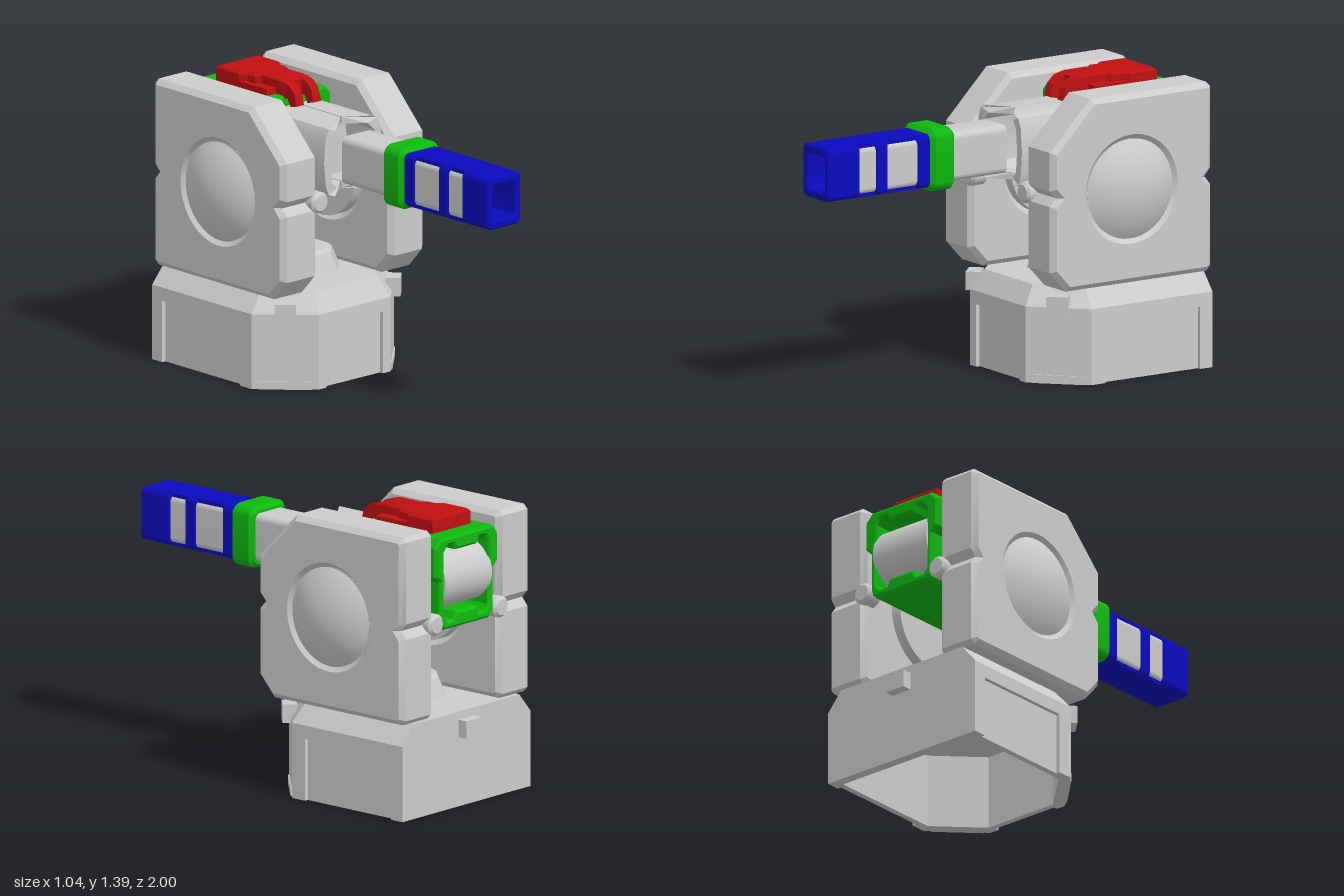
import * as THREE from 'three';
import { toCreasedNormals } from 'three/addons/utils/BufferGeometryUtils.js';

const mat = (c) => new THREE.MeshStandardMaterial({ color: c });
const GREY = mat(0xcccccc), GREEN = mat(0x0fb80f), RED = mat(0xc01010), BLUE = mat(0x0a0abf);

export function createModel() {
  const root = new THREE.Group();
  const add = (name, geo, material = GREY, x = 0, y = 0, z = 0) => {
    const m = new THREE.Mesh(toCreasedNormals(geo.index ? geo.toNonIndexed() : geo, 0.5), material);
    m.name = name;
    m.position.set(x, y, z);
    root.add(m);
    return m;
  };
  const box = (name, material, x0, x1, y0, y1, z0, z1) =>
    add(name, new THREE.BoxGeometry(x1 - x0, y1 - y0, z1 - z0), material, (x0 + x1) / 2, (y0 + y1) / 2, (z0 + z1) / 2);
  const poly = (pts) => new THREE.Shape(pts.map(([x, y]) => new THREE.Vector2(x, y)));
  const mirror = (half) => [...half, ...half.map(([x, y]) => [-x, y]).reverse()];
  // Extrusion over the range 0..depth with an optional inset bevel
  const extrude = (shape, depth, bevel = 0) => new THREE.ExtrudeGeometry(shape, {
    depth: depth - 2 * bevel, bevelEnabled: bevel > 0, bevelSize: bevel, bevelThickness: bevel,
    bevelOffset: -bevel, bevelSegments: 1, curveSegments: 24,
  }).translate(0, 0, bevel);
  const alongX = (shape, w, bevel) => extrude(shape, w, bevel).translate(0, 0, -w / 2).rotateY(Math.PI / 2); // shape is (-z, y)
  const alongY = (shape, h, bevel) => extrude(shape, h, bevel).rotateX(-Math.PI / 2); // shape is (x, -z)
  const roundRect = (w, h, r) => {
    const s = new THREE.Shape(), a = w / 2 - r, b = h / 2 - r;
    [[a, b], [-a, b], [-a, -b], [a, -b]].forEach(([x, y], i) => s.absarc(x, y, r, i * Math.PI / 2, (i + 1) * Math.PI / 2));
    s.closePath();
    return s;
  };
  // Flat-faced loft through convex rings: sections are [y, [[x, z], ...]]
  const loft = (sections) => {
    const pos = [], n = sections[0][1].length;
    const v = (k, i) => [sections[k][1][i % n][0], sections[k][0], sections[k][1][i % n][1]];
    const last = sections.length - 1;
    for (let k = 0; k < last; k++) for (let i = 0; i < n; i++)
      pos.push(...v(k, i), ...v(k, i + 1), ...v(k + 1, i + 1), ...v(k, i), ...v(k + 1, i + 1), ...v(k + 1, i));
    for (let i = 1; i < n - 1; i++)
      pos.push(...v(last, 0), ...v(last, i), ...v(last, i + 1), ...v(0, 0), ...v(0, i + 1), ...v(0, i));
    const g = new THREE.BufferGeometry();
    g.setAttribute('position', new THREE.Float32BufferAttribute(pos, 3));
    g.computeVertexNormals();
    return g;
  };
  const octagon = (w, c, z) => [[-c, w], [c, w], [w, c], [w, -c], [c, -w], [-c, -w], [-w, -c], [-w, c]].map(([x, d]) => [x, z + d]);

  // Hollow base: lower walls with recessed panels, then a plain band, then a chamfered roof
  const cavity = () => poly(mirror([[0.2, 0.09], [0.405, 0.29], [0.405, 0.9]]));
  const lower = poly(mirror([[0.18, 0.06], [0.18, 0.04], [0.23, 0.04], [0.455, 0.26], [0.455, 0.34],
    [0.435, 0.34], [0.435, 0.88], [0.455, 0.88], [0.455, 0.95]]));
  lower.holes.push(cavity());
  add('baseWalls', alongY(lower, 0.3));
  const band = poly(mirror([[0.23, 0.04], [0.455, 0.26], [0.455, 0.95]]));
  band.holes.push(cavity());
  add('baseBand', alongY(band, 0.065), GREY, 0, 0.3);
  const ring = (half) => [...half.map(([x, z]) => [-x, z]).reverse().slice(-1), ...half, ...half.map(([x, z]) => [-x, z]).reverse().slice(0, -1)];
  const footprint = [[0.23, -0.04], [0.455, -0.26], [0.455, -0.95]];
  add('baseRoof', loft([[0.365, ring(footprint)], [0.46, ring([[0.2, -0.1], [0.375, -0.28], [0.375, -0.95]])]]));
  box('backPeg', GREY, -0.055, 0.055, 0.335, 0.42, -1, -0.94);
  for (const s of [-1, 1]) {
    add('cornerBracket', new THREE.BoxGeometry(0.1, 0.09, 0.07), GREY, s * 0.345, 0.38, -0.145).rotation.y = s * 0.775;
    add('cornerFoot', new THREE.BoxGeometry(0.25, 0.04, 0.03), GREY, s * 0.335, 0.02, -0.155).rotation.y = s * 0.775;
  }

  // Neck and column
  add('neckCollar', loft([[0.455, octagon(0.22, 0.115, -0.5)], [0.55, octagon(0.185, 0.1, -0.5)], [0.565, octagon(0.165, 0.09, -0.5)]]));
  add('column', loft([[0.56, octagon(0.09, 0.045, -0.5)], [0.93, octagon(0.09, 0.045, -0.5)]]));

  // Side pods with a domed round window, an inner disc and notch bolts
  const podShape = poly([[0.04, 0.56], [0.13, 0.462], [0.93, 0.462], [0.952, 0.485], [0.952, 0.88], [0.92, 0.918],
    [0.952, 0.955], [0.952, 1.35], [0.93, 1.372], [0.27, 1.372], [0.04, 1.14], [0.04, 0.955], [0.075, 0.918], [0.04, 0.88]]);
  podShape.holes.push(new THREE.Path().absarc(0.49, 0.915, 0.238, 0, Math.PI * 2, true));
  const boltProfile = [[0, -0.08], [0.052, -0.08], [0.052, -0.014], [0.038, 0], [0, 0]].map(([r, y]) => new THREE.Vector2(r, y));
  for (const s of [-1, 1]) {
    add('sidePod', alongX(podShape, 0.225, 0.025), GREY, s * 0.3425);
    add('podDome', new THREE.SphereGeometry(0.413, 48, 12, 0, Math.PI * 2, 0, 0.62).rotateZ(-s * Math.PI / 2), GREY, s * 0.107, 0.915, -0.49);
    add('pivotDisc', new THREE.CylinderGeometry(0.237, 0.237, 0.23, 48).rotateZ(Math.PI / 2), GREY, s * 0.315, 0.915, -0.49);
    for (const f of [-1, 1])
      add('notchBolt', new THREE.LatheGeometry(boltProfile, 24).rotateX(f * Math.PI / 2), GREY, s * 0.23, 0.915, f > 0 ? -0.02 : -0.972);
  }

  // Green housing: open frame around the drum
  const frame = poly(mirror([[0.16, 0.875], [0.19, 0.905], [0.19, 1.11], [0.222, 1.14], [0.222, 1.28], [0.185, 1.32]]));
  frame.holes.push(poly(mirror([[0.075, 0.95], [0.09, 0.915], [0.135, 0.915], [0.155, 0.94], [0.155, 1.25], [0.13, 1.28],
    [0.09, 1.28], [0.075, 1.25]])));
  add('housing', extrude(frame, 0.515, 0.012), GREEN, 0, 0, -0.955);
  add('drum', new THREE.CylinderGeometry(0.15, 0.15, 0.33, 40).rotateZ(Math.PI / 2), GREY, 0, 1.098, -0.815);
  box('housingCore', GREY, -0.157, 0.157, 0.94, 1.255, -0.72, -0.46);

  // Split mantlet: two C-shaped halves whose front edges meet in a V
  for (const s of [-1, 1]) {
    const half = poly([[0.004, 0.92], [0.115, 0.92], [0.155, 0.935], [0.175, 0.98], [0.185, 1.095], [0.175, 1.21], [0.155, 1.255],
      [0.115, 1.27], [0.004, 1.27], [0.004, 1.235], [0.1, 1.235], [0.135, 1.2], [0.145, 1.095], [0.135, 0.99], [0.1, 0.955],
      [0.004, 0.955]].map(([x, y]) => [s * x, y]));
    const g = extrude(half, 0.41), p = g.attributes.position;
    for (let i = 0; i < p.count; i++)
      if (p.getZ(i) > 0.2) p.setZ(i, p.getZ(i) - 0.09 * Math.max(0, 1 - Math.abs(p.getX(i)) / 0.11));
    g.computeVertexNormals();
    add('mantletHalf', g, GREY, 0, 0, -0.46);
  }
  box('mantletBack', GREY, -0.15, 0.15, 0.94, 1.25, -0.46, -0.25);

  // Red latch: stepped block, raised arm and two hooked prongs
  add('latchBlock', alongY(poly(mirror([[0.075, 0.5], [0.135, 0.5], [0.135, 0.855]])), 0.04), RED, 0, 1.31);
  add('latchHead', alongY(poly(mirror([[0.08, 0.6], [0.105, 0.62], [0.105, 0.67], [0.135, 0.7], [0.135, 0.855]])), 0.085, 0.012), RED, 0, 1.31);
  add('latchArm', alongX(poly([[0.44, 1.31], [0.8, 1.31], [0.8, 1.395], [0.47, 1.395], [0.44, 1.385]]), 0.16, 0.008), RED);
  for (const s of [-1, 1])
    add('latchProng', alongX(poly([[0.46, 1.31], [0.46, 1.392], [0.41, 1.378], [0.375, 1.345], [0.358, 1.285], [0.4, 1.275], [0.42, 1.31]]), 0.048), RED, s * 0.054);

  // Barrel: grey core, green collar, blue sleeve with side windows and an open muzzle
  const cy = 1.098;
  add('barrelCore', extrude(roundRect(0.2, 0.232, 0.03), 0.85), GREY, 0, cy, -0.02);
  add('barrelCollar', extrude(roundRect(0.255, 0.3, 0.05), 0.138, 0.02), GREEN, 0, cy, 0.283);
  const bands = [[0.41, 0.49], [0.655, 0.725], [0.815, 1]];
  bands.forEach(([z0, z1]) => {
    const s = roundRect(0.212, 0.255, 0.028);
    s.holes.push(roundRect(0.142, 0.172, 0.015));
    add('sleeveBand', extrude(s, z1 - z0, 0.008), BLUE, 0, cy, z0);
  });
  for (const s of [-1, 1])
    add('sleeveStrip', new THREE.BoxGeometry(0.18, 0.02, 0.5), BLUE, 0, cy + s * 0.1165, 0.67);
  return root;
}
